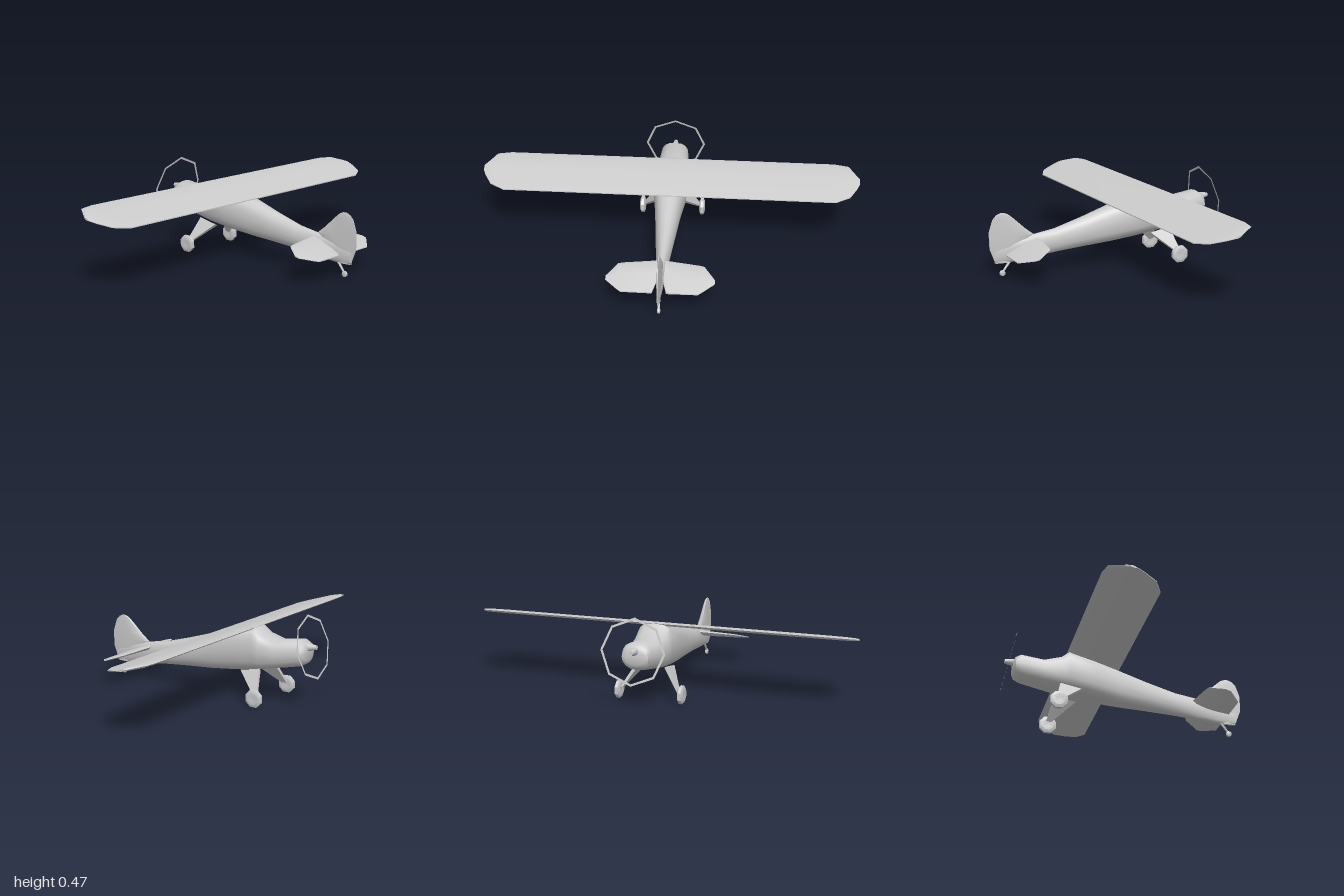
import * as THREE from 'three';
import { toCreasedNormals } from 'three/addons/utils/BufferGeometryUtils.js';

const material = new THREE.MeshStandardMaterial({ color: 0xcccccc, side: THREE.DoubleSide });
const v = (x, y, z) => new THREE.Vector3(x, y, z);

// Skins a list of equal-length rings, closes both ends, and faces everything outward
function loft(name, rings, crease = 0.6) {
  const tris = [];
  const n = rings[0].length;
  for (let i = 0; i < rings.length - 1; i++) {
    for (let j = 0; j < n; j++) {
      const k = (j + 1) % n;
      const a = rings[i][j], b = rings[i][k], c = rings[i + 1][k], d = rings[i + 1][j];
      tris.push([a, b, c], [a, c, d]);
    }
  }
  const first = rings[0], last = rings[rings.length - 1];
  for (let j = 1; j < n - 1; j++) {
    tris.push([first[0], first[j + 1], first[j]], [last[0], last[j], last[j + 1]]);
  }
  let volume = 0;
  for (const [a, b, c] of tris) volume += a.dot(b.clone().cross(c));
  if (volume < 0) tris.forEach((t) => t.reverse());
  const geometry = new THREE.BufferGeometry().setFromPoints(tris.flat());
  const mesh = new THREE.Mesh(toCreasedNormals(geometry, crease), material);
  mesh.name = name;
  return mesh;
}

// Thin aerofoil panel: stations are [span, leading z, trailing z, half thickness]
const section = [[0, 0], [0.1, 0.9], [0.45, 1], [1, 0.25], [1, -0.25], [0.45, -1], [0.1, -0.9]];
function panel(name, stations, place) {
  return loft(name, stations.map(([s, le, te, t]) =>
    section.map(([u, w]) => place(s, le + (te - le) * u, t * w))));
}
const mirrored = (half) => [
  ...half.slice(1).reverse().map(([s, ...rest]) => [-s, ...rest]), ...half];

// Disc with its axis along x, from [x, radius] pairs
function wheel(name, x, y, z, profile, sides) {
  return loft(name, profile.map(([dx, r]) => Array.from({ length: sides }, (_, i) => {
    const a = (i + 0.5) / sides * Math.PI * 2;
    return v(x + dx, y + r * Math.cos(a), z + r * Math.sin(a));
  })));
}

// Straight round rod, tapering from r0 to r1
function rod(name, from, to, r0, r1, sides = 8) {
  const turn = new THREE.Quaternion().setFromUnitVectors(
    v(0, 1, 0), to.clone().sub(from).normalize());
  const ring = (p, r) => Array.from({ length: sides }, (_, i) => {
    const a = i / sides * Math.PI * 2;
    return v(r * Math.cos(a), 0, r * Math.sin(a)).applyQuaternion(turn).add(p);
  });
  return loft(name, [ring(from, r0), ring(to, r1)], 0.9);
}

export function createModel() {
  const plane = new THREE.Group();
  plane.name = 'airplane';

  // Fuselage stations: z, top, bottom, half width, squareness (1 = ellipse)
  const body = [
    [-0.582, 0.312, 0.240, 0.050, 0.9],
    [-0.573, 0.328, 0.222, 0.068, 0.85],
    [-0.545, 0.344, 0.206, 0.075, 0.8],
    [-0.425, 0.325, 0.182, 0.086, 0.75],
    [-0.335, 0.350, 0.164, 0.094, 0.7],
    [-0.297, 0.382, 0.156, 0.096, 0.7],
    [-0.160, 0.348, 0.136, 0.088, 0.75],
    [-0.027, 0.311, 0.120, 0.068, 0.8],
    [0.120, 0.266, 0.109, 0.054, 0.9],
    [0.280, 0.222, 0.096, 0.038, 1],
    [0.400, 0.204, 0.082, 0.027, 1],
    [0.520, 0.180, 0.071, 0.016, 1],
    [0.612, 0.150, 0.073, 0.006, 1],
  ];
  const power = (value, e) => Math.sign(value) * Math.abs(value) ** e;
  plane.add(loft('fuselage', body.map(([z, top, bottom, w, e]) =>
    Array.from({ length: 16 }, (_, i) => {
      const a = i / 16 * Math.PI * 2;
      const y = (top + bottom) / 2 + (top - bottom) / 2 * power(Math.sin(a), e);
      return v(w * power(Math.cos(a), e), y, z);
    })), 0.8));

  // Main wing, sloping down toward its trailing edge
  plane.add(panel('wing', mirrored([
    [0, -0.304, -0.027, 0.010],
    [0.870, -0.304, -0.027, 0.010],
    [0.945, -0.290, -0.065, 0.009],
    [0.985, -0.225, -0.130, 0.007],
    [1, -0.200, -0.165, 0.005],
  ]), (s, z, t) => v(s, 0.382 - 0.25 * (z + 0.304) + t, z)));

  // Tailplane, notched in the middle for the rudder
  plane.add(panel('tailplane', mirrored([
    [0, 0.370, 0.440, 0.014],
    [0.035, 0.375, 0.565, 0.013],
    [0.190, 0.394, 0.565, 0.008],
    [0.215, 0.400, 0.546, 0.007],
    [0.270, 0.475, 0.500, 0.003],
  ]), (s, z, t) => v(s, 0.172 - 0.32 * (z - 0.4) + t, z)));

  // Fin and rudder
  plane.add(panel('fin', [
    [0.072, 0.540, 0.608, 0.007],
    [0.150, 0.440, 0.638, 0.012],
    [0.205, 0.400, 0.640, 0.012],
    [0.240, 0.445, 0.640, 0.010],
    [0.300, 0.510, 0.620, 0.007],
    [0.322, 0.536, 0.600, 0.005],
    [0.331, 0.558, 0.580, 0.003],
  ], (s, z, t) => v(t, s, z)));

  // Propeller hub and the thin ring around it
  plane.add(rod('propellerHub', v(0, 0.306, -0.565), v(0, 0.310, -0.625), 0.024, 0.011));
  const ring = new THREE.Mesh(
    new THREE.RingGeometry(0.153, 0.165, 8, 1, Math.PI / 2), material);
  ring.name = 'propellerRing';
  ring.position.set(0, 0.31, -0.603);
  ring.rotation.x = 0.2;
  plane.add(ring);

  // Main landing gear: a tapering blade and a wheel on each side
  const tyre = [[-0.012, 0.012], [-0.015, 0.032], [-0.008, 0.047],
    [0.008, 0.047], [0.015, 0.032], [0.012, 0.012]];
  for (const side of [1, -1]) {
    const blade = (x, y0, z0, y1, z1, t) => [
      v(side * (x - t), y0, z0), v(side * (x + t), y0 + t, z0),
      v(side * (x + t), y1 + t, z1), v(side * (x - t), y1, z1)];
    plane.add(loft('gearLeg', [
      blade(0.075, 0.150, -0.235, 0.172, -0.345, 0.008),
      blade(0.148, 0.055, -0.350, 0.060, -0.375, 0.005),
    ], 0.3));
    plane.add(wheel('mainWheel', side * 0.165, 0.047, -0.365, tyre, 8));
  }

  // Tail wheel on its strut
  plane.add(rod('tailWheelStrut', v(0, 0.078, 0.53), v(0, 0.025, 0.57), 0.007, 0.005, 6));
  plane.add(wheel('tailWheel', 0, 0.019, 0.572,
    [[-0.008, 0.009], [-0.005, 0.015], [0.005, 0.015], [0.008, 0.009]], 8));

  return plane;
}
